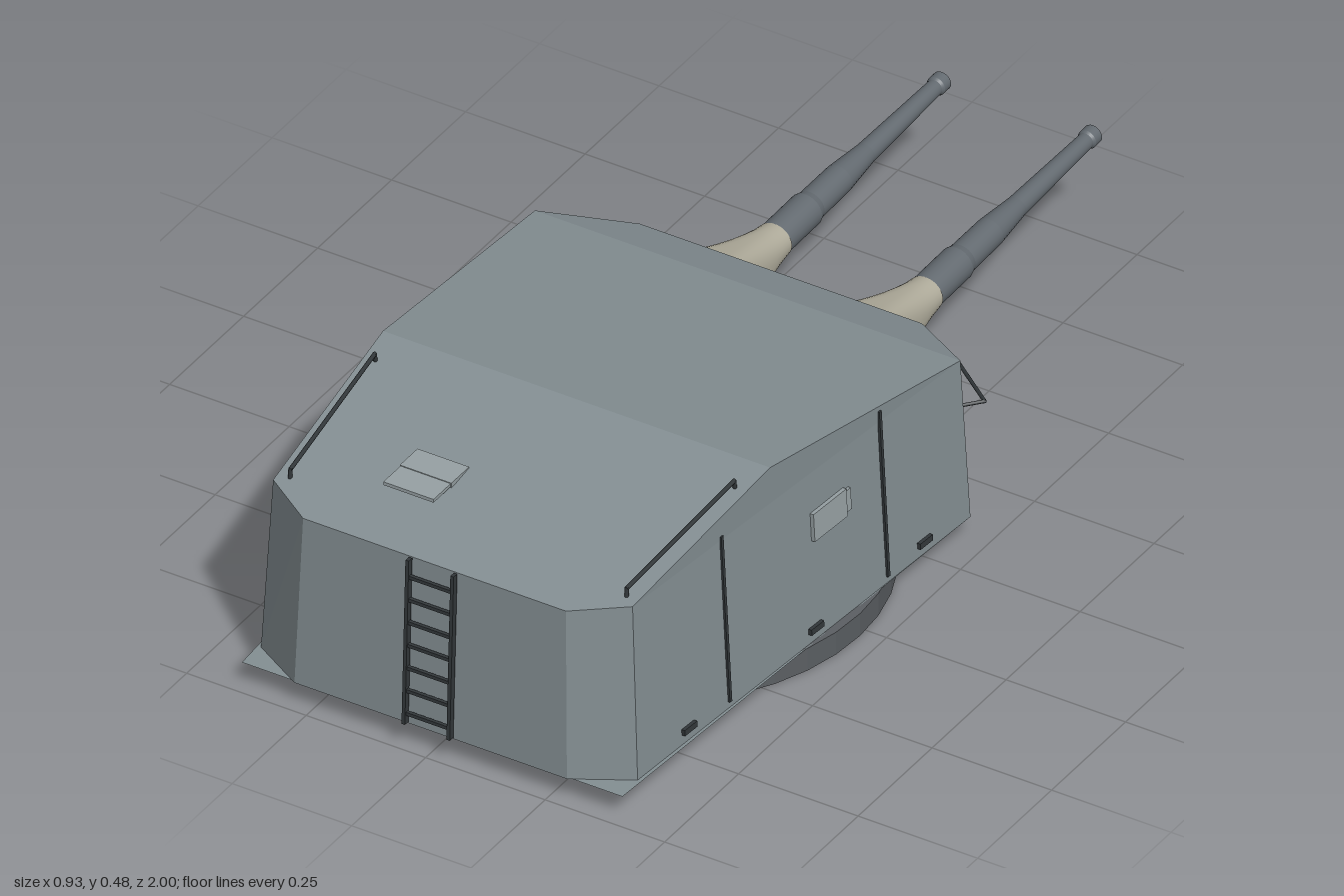
import * as THREE from 'three';

const mat = (color, extra = {}) => new THREE.MeshStandardMaterial({ color, ...extra });
const V = (x, y, z) => new THREE.Vector3(x, y, z);

// Flat faces of a convex shell, each turned to point away from the centre
function shell(faces, centre) {
  const pos = [];
  for (const f of faces) {
    const n = V(0, 0, 0).crossVectors(f[1].clone().sub(f[0]), f[2].clone().sub(f[0]));
    const p = n.dot(f[0].clone().sub(centre)) < 0 ? [...f].reverse() : f;
    for (let i = 1; i < p.length - 1; i++)
      for (const v of [p[0], p[i], p[i + 1]]) pos.push(v.x, v.y, v.z);
  }
  const g = new THREE.BufferGeometry();
  g.setAttribute('position', new THREE.Float32BufferAttribute(pos, 3));
  g.computeVertexNormals();
  return g;
}

// Loft from a rounded rectangle at the gun port to a circle round the barrel
function bagGeometry() {
  const N = 32, rings = 9, pos = [], idx = [];
  for (let j = 0; j < rings; j++) {
    const t = j / (rings - 1), e = 1 - t;
    const w = 0.036 + 0.021 * Math.pow(e, 1.1), h = 0.034 + 0.066 * Math.pow(e, 1.25);
    const k = 0.3 + 0.7 * Math.min(1, t * 1.1);
    for (let i = 0; i < N; i++) {
      const a = (i + 0.5) / N * Math.PI * 2, c = Math.cos(a), s = Math.sin(a);
      pos.push(w * Math.sign(c) * Math.pow(Math.abs(c), k), 0.217 + h * Math.sign(s) * Math.pow(Math.abs(s), k), -0.2 - 0.235 * t);
      if (j < rings - 1) {
        const p = j * N + i, q = j * N + (i + 1) % N;
        idx.push(p, p + N, q, q, p + N, q + N);
      }
    }
  }
  const g = new THREE.BufferGeometry();
  g.setAttribute('position', new THREE.Float32BufferAttribute(pos, 3));
  g.setIndex(idx);
  g.computeVertexNormals();
  return g;
}

export function createModel() {
  const root = new THREE.Group();
  root.name = 'gunTurret';
  const hullMat = mat(0x859094, { flatShading: true, side: THREE.DoubleSide });
  const plateMat = mat(0x98a2a5);
  const baseMat = mat(0x5c6064, { flatShading: true });
  const gunMat = mat(0x646b71);
  const bagMat = mat(0xb4b09f, { side: THREE.DoubleSide });
  const darkMat = mat(0x33383b);

  const add = (name, geo, material, parent = root) => {
    const m = new THREE.Mesh(geo, material);
    m.name = name;
    parent.add(m);
    return m;
  };
  const box = (name, size, p, material, parent) => {
    const m = add(name, new THREE.BoxGeometry(...size), material, parent);
    m.position.set(...p);
    return m;
  };
  // Thin round bar joining each pair of neighbouring points
  const bars = (name, pts, r, parent = root) => {
    const g = new THREE.Group();
    g.name = name;
    parent.add(g);
    for (let i = 0; i < pts.length - 1; i++) {
      const d = pts[i + 1].clone().sub(pts[i]);
      const m = add('bar', new THREE.CylinderGeometry(r, r, d.length() + r, 6), darkMat, g);
      m.position.copy(pts[i]).addScaledVector(d, 0.5);
      m.quaternion.setFromUnitVectors(V(0, 1, 0), d.normalize());
    }
    return g;
  };

  // Ring base
  add('ringBase', new THREE.CylinderGeometry(0.457, 0.457, 0.048, 40), baseMat).position.set(0, 0.024, 0.27);

  // Armoured house: half outlines from front centre to rear, mirrored
  const B = 0.048;
  const low = [V(0.31, B, -0.23), V(0.465, B, -0.09), V(0.394, B, 0.92), V(0.285, B, 0.983)];
  const top = [V(0.295, 0.34, -0.2), V(0.445, 0.38, -0.088), V(0.405, 0.475, 0.49), V(0.376, 0.41, 0.908), V(0.275, 0.4, 0.97)];
  const mir = v => V(-v.x, v.y, v.z);
  const across = (a, b) => [a, b, mir(b), mir(a)];
  const half = [
    [low[0], low[1], top[1], top[0]],
    [low[1], low[2], top[3], top[2], top[1]],
    [low[2], low[3], top[4], top[3]],
  ];
  const faces = [
    ...half, ...half.map(f => f.map(mir)),
    across(low[0], top[0]), across(low[3], top[4]),
    across(top[0], top[1]), across(top[1], top[2]),
    [top[2], top[3], top[4], mir(top[4]), mir(top[3]), mir(top[2])],
  ];
  add('armouredHouse', shell(faces, V(0, 0.24, 0.35)), hullMat);

  // Floor plate with square rear corners
  const f = [low[0], low[1], V(0.398, B, 0.978)];
  add('floorPlate', shell([[...f, ...f.map(mir).reverse()]], V(0, 0.3, 0.35)), hullMat);

  // Twin guns, slightly raised, with cloth bags at the ports
  const barrel = [[0, 0], [0.034, 0], [0.034, 0.11], [0.03, 0.125], [0.029, 0.22], [0.021, 0.31],
    [0.016, 0.545], [0.019, 0.55], [0.019, 0.57], [0.011, 0.57], [0.011, 0.53], [0, 0.53]];
  // Repeating each corner gives crisp steps along the barrel
  const crisp = barrel.flatMap(([r, y]) => [new THREE.Vector2(r, y), new THREE.Vector2(r, y)]);
  const barrelGeo = new THREE.LatheGeometry(crisp, 24);
  const bagGeo = bagGeometry();
  for (const s of [-1, 1]) {
    const gun = new THREE.Group();
    gun.name = s > 0 ? 'leftGun' : 'rightGun';
    gun.position.x = s * 0.158;
    root.add(gun);
    add('gunBag', bagGeo, bagMat, gun);
    const b = add('barrel', barrelGeo, gunMat, gun);
    b.position.set(0, 0.217, -0.43);
    b.rotation.x = -Math.PI / 2 + 0.019;
  }

  // Fittings on both sides
  const sideX = (y, z) => 0.465 - 0.0703 * (z + 0.09) - 0.055 * (y - B);
  for (const s of [-1, 1]) {
    const side = new THREE.Group();
    side.name = s > 0 ? 'leftFittings' : 'rightFittings';
    root.add(side);
    const onSide = (name, size, y, z, material) => {
      const m = box(name, size, [s * sideX(y, z), y, z], material, side);
      m.rotation.set(0, -s * 0.07, s * 0.055);
    };
    for (const z of [0.16, 0.64]) onSide('seamStrip', [0.008, 0.35, 0.007], 0.236, z, darkMat);
    for (const z of [0.05, 0.38, 0.765]) onSide('footBracket', [0.014, 0.012, 0.038], 0.074, z, darkMat);
    onSide('sideHatch', [0.014, 0.058, 0.1], 0.283, 0.325, plateMat);
    onSide('hatchHinge', [0.01, 0.045, 0.016], 0.283, 0.268, plateMat);

    // Roof edge rail
    bars('roofRail', [V(s * 0.376, 0.462, 0.562), V(s * 0.376, 0.48, 0.565), V(s * 0.352, 0.43, 0.888), V(s * 0.352, 0.41, 0.89)], 0.004, side);
    // Grab rail on the angled gun-side corner
    bars('cornerRail', [V(s * 0.432, 0.266, -0.108), V(s * 0.462, 0.266, -0.143), V(s * 0.352, 0.266, -0.226), V(s * 0.322, 0.266, -0.195)], 0.0035, side);
  }

  // Roof hatch
  box('roofHatch', [0.105, 0.007, 0.06], [-0.132, 0.435, 0.815], plateMat);
  box('roofHatchHinge', [0.108, 0.01, 0.06], [-0.132, 0.435, 0.757], plateMat);

  // Rear ladder, leaning with the wall
  const ladder = new THREE.Group();
  ladder.name = 'ladder';
  root.add(ladder);
  const ladderZ = y => 0.994 - 0.038 * (y - 0.055);
  for (const s of [-1, 1]) {
    const stile = box('stile', [0.007, 0.347, 0.012], [s * 0.047, 0.228, ladderZ(0.228)], darkMat, ladder);
    stile.rotation.x = -0.038;
  }
  for (let i = 0; i < 7; i++) {
    const y = 0.077 + i * 0.048;
    box('rung', [0.094, 0.007, 0.007], [0, y, ladderZ(y)], darkMat, ladder);
  }
  return root;
}
